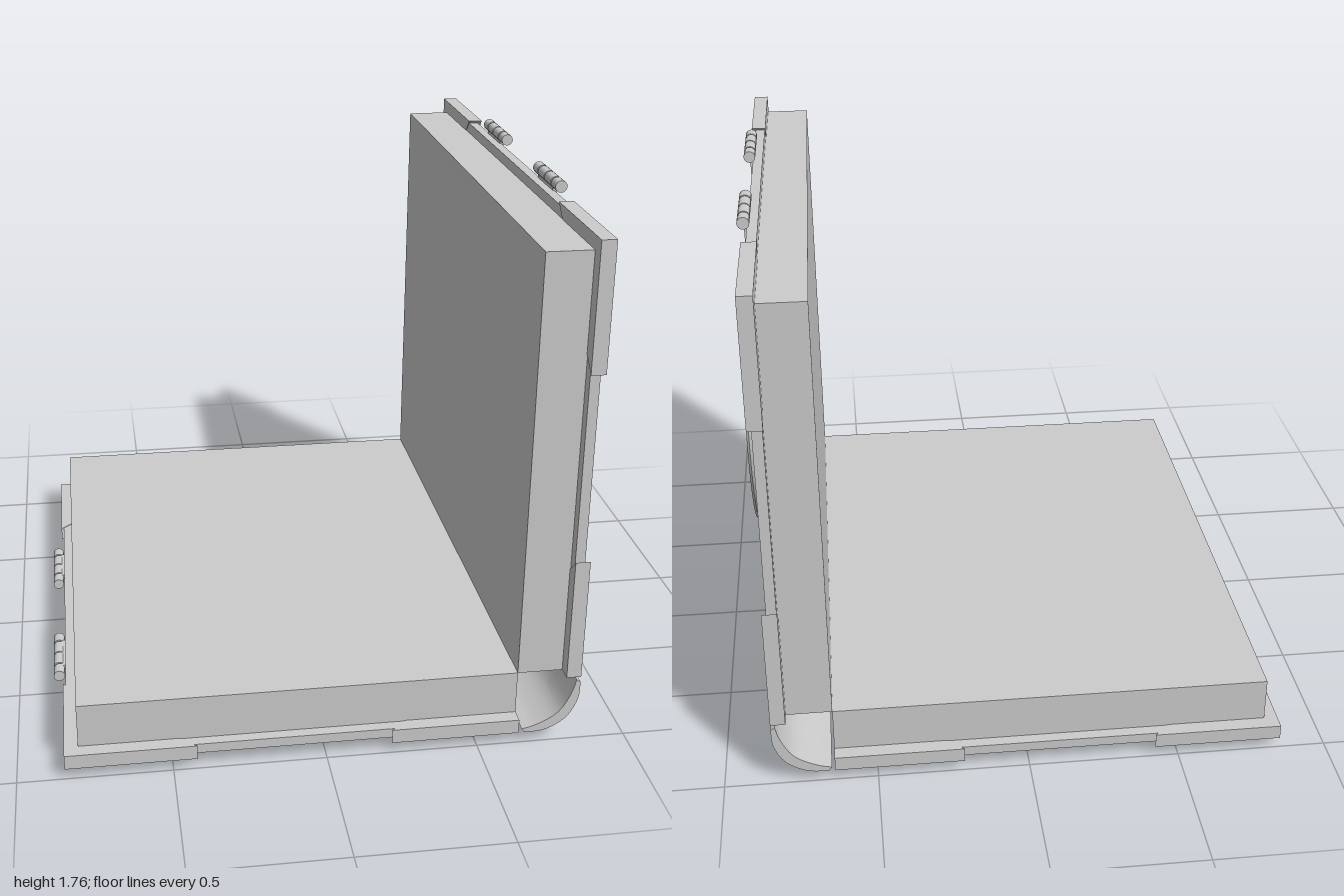
import * as THREE from 'three';
import { toCreasedNormals } from 'three/addons/utils/BufferGeometryUtils.js';

const grey = new THREE.MeshStandardMaterial({ color: 0xcccccc });

function add(parent, name, geometry) {
  const mesh = new THREE.Mesh(geometry, grey);
  mesh.name = name;
  parent.add(mesh);
  return mesh;
}

// Flat plate: outline in (x, z), filling y from d0 to d1
function plate(points, d0, d1) {
  const shape = new THREE.Shape(points.map(([x, z]) => new THREE.Vector2(x, z)));
  return new THREE.ExtrudeGeometry(shape, { depth: d1 - d0, bevelEnabled: false })
    .rotateX(Math.PI / 2).translate(0, d1, 0);
}

function box(x0, x1, y0, y1, halfZ) {
  return new THREE.BoxGeometry(x1 - x0, y1 - y0, halfZ * 2)
    .translate((x0 + x1) / 2, (y0 + y1) / 2, 0);
}

// One half of the open book: x runs away from the spine, y runs outward
function createHalf(name) {
  const half = new THREE.Group();
  half.name = name;
  add(half, 'pages', box(0, 1.442, 0, 0.152, 0.95));
  add(half, 'coverBoard', box(0, 1.478, 0.152, 0.185, 0.988));

  // Triangular corner guards
  for (const s of [-1, 1]) {
    for (const [edge, dir] of [[0, 1], [1.487, -1]]) {
      add(half, 'cornerGuard', plate(
        [[edge, s], [edge + dir * 0.425, s], [edge, s * 0.58]], 0.15, 0.199));
    }
  }

  // Raised ring on the cover
  const profile = [[0.43, 0.18], [0.487, 0.18], [0.487, 0.227], [0.481, 0.235],
    [0.437, 0.235], [0.43, 0.227], [0.43, 0.18]].map(([r, y]) => new THREE.Vector2(r, y));
  add(half, 'coverRing', toCreasedNormals(new THREE.LatheGeometry(profile, 64), 0.5))
    .position.x = 0.738;

  // Pointed clasp straps with hinge knuckles on the free edge
  for (const s of [-1, 1]) {
    const clasp = new THREE.Group();
    clasp.name = 'clasp';
    clasp.position.z = s * 0.328;
    half.add(clasp);
    add(clasp, 'claspStrap', plate(
      [[1.5, -0.085], [1.5, 0.085], [1.225, 0.085], [1.142, 0], [1.225, -0.085]], 0.18, 0.195));
    const rod = (partName, r, z, length) => add(clasp, partName,
      toCreasedNormals(new THREE.CylinderGeometry(r, r, length, 16).rotateX(Math.PI / 2), 0.6))
      .position.set(1.501, 0.195, z);
    rod('claspPin', 0.015, 0, 0.25);
    for (const [z, length] of [[-0.104, 0.05], [-0.037, 0.068], [0.037, 0.068], [0.104, 0.05]]) {
      rod('claspKnuckle', 0.02, z, length);
    }
  }
  return half;
}

// Crescent spine section, optionally swollen outward for the raised bands
function spinePiece(z0, z1, swell) {
  const arc = (points) => new THREE.CatmullRomCurve3(
    points.map(([x, y]) => new THREE.Vector3(x, y, 0))).getPoints(14);
  const e = swell;
  const outer = arc([[0.66, 0.036 - e], [0.725, 0.041 - e], [0.795, 0.08 - e],
    [0.834 + e, 0.15], [0.839 + e, 0.215]]);
  const inner = arc([[0.825, 0.225], [0.813, 0.18], [0.77, 0.105], [0.695, 0.062], [0.65, 0.05]]);
  const shape = new THREE.Shape([...outer, ...inner].map((p) => new THREE.Vector2(p.x, p.y)));
  const geometry = new THREE.ExtrudeGeometry(shape, { depth: z1 - z0, bevelEnabled: false });
  return toCreasedNormals(geometry.translate(0, 0, z0), 0.5);
}

export function createModel() {
  const book = new THREE.Group();
  book.name = 'openBook';

  // Half lying flat
  const lower = createHalf('lowerHalf');
  lower.rotation.z = Math.PI;
  lower.position.set(0.64, 0.235, 0);

  // Half standing upright
  const upper = createHalf('upperHalf');
  upper.quaternion.setFromRotationMatrix(new THREE.Matrix4().makeBasis(
    new THREE.Vector3(0, 1, 0), new THREE.Vector3(1, 0, 0), new THREE.Vector3(0, 0, -1)));
  upper.position.set(0.64, 0.235, 0);
  book.add(lower, upper);

  // Rounded spine with three slim bands
  add(book, 'spine', spinePiece(-1, 1, 0));
  for (const z of [-0.88, 0, 0.88]) {
    add(book, 'spineBand', spinePiece(z - 0.042, z + 0.042, 0.005));
  }
  return book;
}
